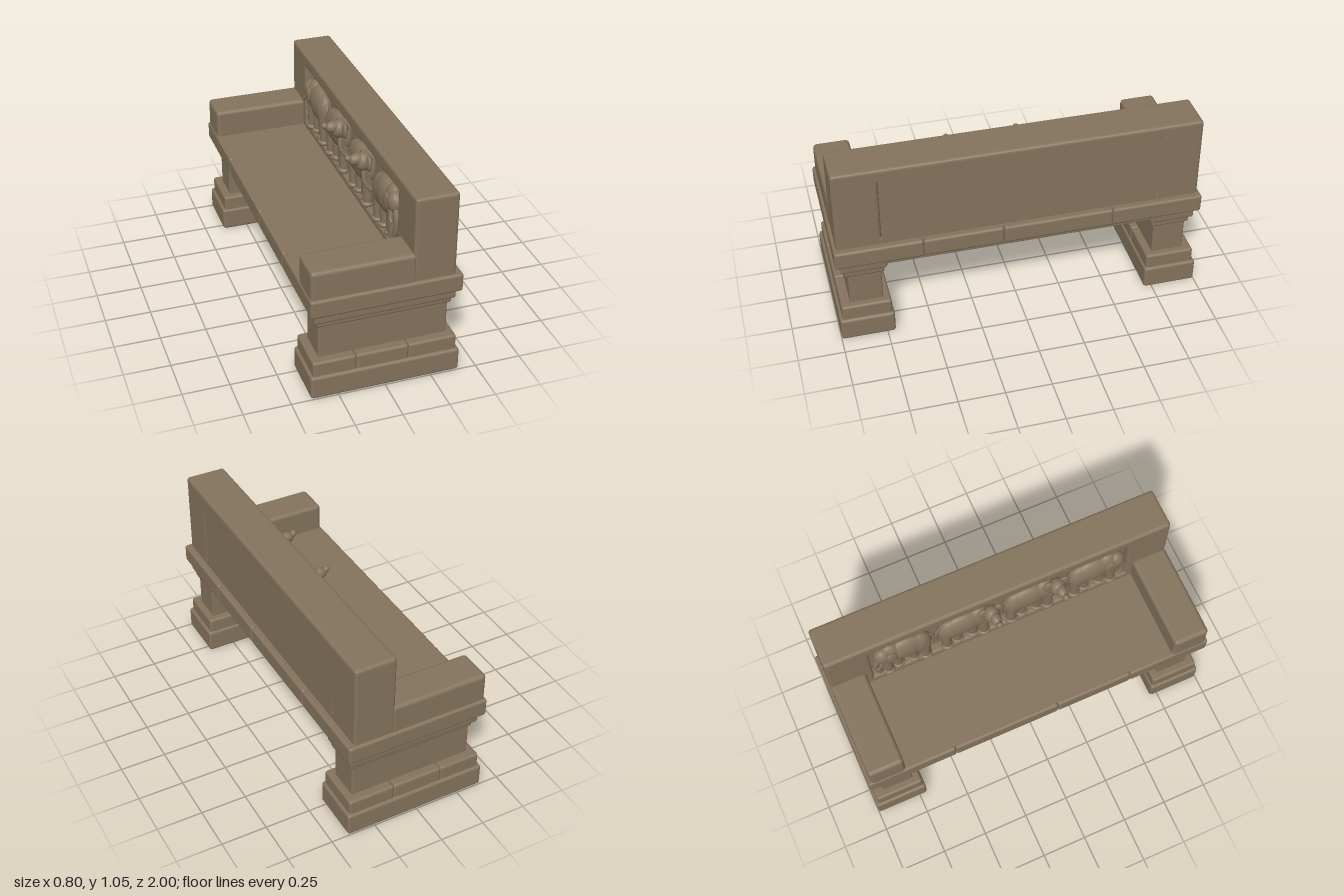
import * as THREE from 'three';
import { RoundedBoxGeometry } from 'three/addons/geometries/RoundedBoxGeometry.js';

const stone = new THREE.MeshStandardMaterial({ color: 0x85745d });
stone.name = 'weathered stone';

function add(parent, name, geometry, x = 0, y = 0, z = 0) {
  const mesh = new THREE.Mesh(geometry, stone);
  mesh.name = name;
  mesh.position.set(x, y, z);
  parent.add(mesh);
  return mesh;
}

// Rounded block given by its extents on each axis
function block(parent, name, [x0, x1], [y0, y1], [z0, z1], radius = 0.015) {
  const geometry = new RoundedBoxGeometry(x1 - x0, y1 - y0, z1 - z0, 3, radius);
  return add(parent, name, geometry, (x0 + x1) / 2, (y0 + y1) / 2, (z0 + z1) / 2);
}

function ellipsoid(parent, name, [x, y, z], [rx, ry, rz]) {
  add(parent, name, new THREE.SphereGeometry(1, 24, 16), x, y, z).scale.set(rx, ry, rz);
}

function tube(parent, name, points, radius) {
  const curve = new THREE.CatmullRomCurve3(points.map((p) => new THREE.Vector3(...p)));
  add(parent, name, new THREE.TubeGeometry(curve, 20, radius, 10));
  ellipsoid(parent, name + 'Tip', points[points.length - 1], [radius, radius, radius]);
}

// Pedestal under one end: plinth, jointed base moulding, pillar and stepped capital
function pedestal(side) {
  const g = new THREE.Group();
  g.name = 'pedestal';
  const span = (a, b) => (side > 0 ? [a, b] : [-b, -a]);
  block(g, 'plinth', [-0.395, 0.405], [0, 0.13], span(0.705, 1), 0.016);
  const cuts = [-0.38, -0.15, 0.13, 0.39];
  for (let i = 0; i < 3; i++) {
    block(g, 'mouldingStone', [cuts[i], cuts[i + 1]], [0.11, 0.21], span(0.715, 0.985), 0.014);
  }
  block(g, 'pillar', [-0.338, 0.352], [0.19, 0.41], span(0.755, 0.935), 0.01);
  block(g, 'capitalLower', [-0.348, 0.368], [0.395, 0.445], span(0.738, 0.95), 0.013);
  block(g, 'capitalUpper', [-0.366, 0.381], [0.432, 0.5], span(0.725, 0.972), 0.013);
  return g;
}

// Relief elephant walking along z; a turned one pokes its head out of the panel
function elephant(z0, dir, turned) {
  const g = new THREE.Group();
  g.name = 'elephant';
  const at = (x, y, z) => [x, y, z0 + dir * z];
  ellipsoid(g, 'body', at(0.165, 0.84, -0.01), [0.05, 0.1, 0.13]);
  ellipsoid(g, 'rump', at(0.165, 0.83, -0.08), [0.046, 0.095, 0.075]);
  ellipsoid(g, 'shoulder', at(0.165, 0.85, 0.08), [0.045, 0.095, 0.07]);
  const legs = [[-0.11, 0.158], [-0.045, 0.172], [0.045, 0.172], [0.105, 0.158]];
  for (const [z, x] of legs) {
    add(g, 'leg', new THREE.CylinderGeometry(0.036, 0.027, 0.18, 14), ...at(x, 0.73, z));
    ellipsoid(g, 'foot', at(x - 0.004, 0.642, z), [0.034, 0.02, 0.036]);
  }
  tube(g, 'tail', [at(0.16, 0.9, -0.14), at(0.155, 0.85, -0.165), at(0.165, 0.75, -0.16)], 0.008);
  if (turned) {
    ellipsoid(g, 'head', at(0.115, 0.92, 0.14), [0.05, 0.052, 0.045]);
    ellipsoid(g, 'brow', at(0.075, 0.94, 0.145), [0.045, 0.032, 0.03]);
    tube(g, 'snout', [at(0.09, 0.925, 0.145), at(0.055, 0.935, 0.148), at(0.028, 0.955, 0.148)], 0.017);
    for (const e of [-1, 1]) {
      ellipsoid(g, 'ear', at(0.13, 0.925, 0.14 + e * 0.045), [0.014, 0.045, 0.03]);
    }
    tube(g, 'trunk', [at(0.13, 0.91, 0.15), at(0.113, 0.86, 0.16), at(0.12, 0.8, 0.17), at(0.145, 0.765, 0.175)], 0.014);
  } else {
    ellipsoid(g, 'head', at(0.155, 0.87, 0.125), [0.042, 0.06, 0.05]);
    ellipsoid(g, 'ear', at(0.122, 0.86, 0.085), [0.012, 0.05, 0.035]);
    tube(g, 'trunk', [at(0.15, 0.86, 0.15), at(0.145, 0.8, 0.172), at(0.145, 0.73, 0.17), at(0.145, 0.69, 0.155)], 0.016);
    tube(g, 'tusk', [at(0.13, 0.835, 0.14), at(0.12, 0.8, 0.155), at(0.12, 0.785, 0.17)], 0.007);
  }
  return g;
}

// Backrest frame with a sunk panel, drawn in the z-y plane and extruded along x
function backrest() {
  const g = new THREE.Group();
  g.name = 'backrest';
  const rect = (path, w, y0, y1, r) => {
    path.moveTo(-w, y0);
    path.lineTo(w, y0);
    path.lineTo(w, y1 - r);
    path.quadraticCurveTo(w, y1, w - r, y1);
    path.lineTo(-w + r, y1);
    path.quadraticCurveTo(-w, y1, -w, y1 - r);
    path.closePath();
    return path;
  };
  const shape = rect(new THREE.Shape(), 0.983, 0.56, 1.055, 0.02);
  shape.holes.push(rect(new THREE.Path(), 0.745, 0.63, 0.978, 0.003));
  const b = 0.016;
  const geometry = new THREE.ExtrudeGeometry(shape, {
    depth: 0.228 - 2 * b, bevelThickness: b, bevelSize: b, bevelOffset: -b, bevelSegments: 3, curveSegments: 5,
  });
  geometry.rotateY(Math.PI / 2);
  add(g, 'frame', geometry, 0.141 + b, 0, 0);
  // The panel stays narrower than the frame bevel, leaving an upright groove at each end of the back
  add(g, 'panel', new THREE.BoxGeometry(0.179, 0.385, 1.49), 0.2795, 0.8025, 0);
  return g;
}

export function createModel() {
  const model = new THREE.Group();
  model.name = 'stoneBench';

  for (const side of [-1, 1]) {
    model.add(pedestal(side));
    // Armrest
    const z = side > 0 ? [0.785, 0.985] : [-0.985, -0.785];
    block(model, 'armrest', [-0.388, 0.16], [0.56, 0.746], z, 0.022);
    // Stepped rails below the seat, along its long edges
    const span = (a, b) => (side > 0 ? [a, b] : [-b, -a]);
    block(model, 'railUpper', span(0.2, 0.372), [0.462, 0.5], [-0.75, 0.75], 0.008);
    block(model, 'railLower', span(0.22, 0.358), [0.438, 0.47], [-0.75, 0.75], 0.008);
  }

  // Seat slab of jointed stones with a continuous sitting surface
  const joints = [-1, -0.5, 0.1, 0.53, 1];
  for (let i = 0; i < 4; i++) {
    block(model, 'slabStone', [-0.394, 0.405], [0.488, 0.59], [joints[i], joints[i + 1]], 0.014);
  }
  add(model, 'seat', new THREE.BoxGeometry(0.755, 0.09, 1.96), 0.003, 0.546, 0);

  model.add(backrest());
  model.add(elephant(-0.55, -1, false));
  model.add(elephant(-0.205, 1, true));
  model.add(elephant(0.175, 1, true));
  model.add(elephant(0.55, 1, false));
  return model;
}
